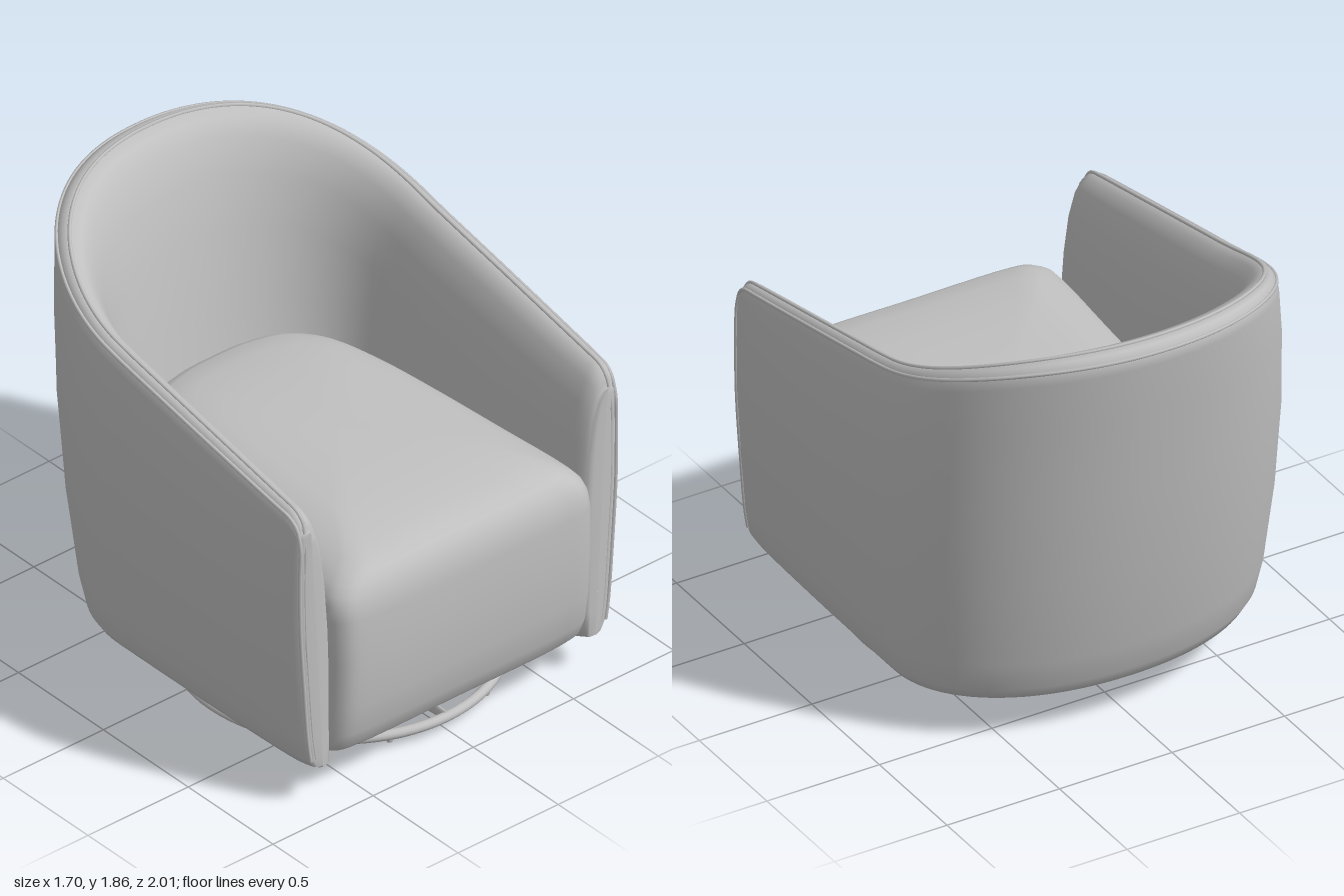
import * as THREE from 'three';

const V = (x, y, z) => new THREE.Vector3(x, y, z);
const FRONT = 0.9, ARC = -0.2, BASE = 0.15;

// Skin over a grid of points; j (the section) may wrap, i (the rows) may wrap.
function skin(ni, nj, wrapI, wrapJ, point) {
  const pos = [], index = [];
  for (let i = 0; i < ni; i++) for (let j = 0; j < nj; j++) pos.push(...point(i, j).toArray());
  for (let i = 0; i < (wrapI ? ni : ni - 1); i++) {
    for (let j = 0; j < (wrapJ ? nj : nj - 1); j++) {
      const i2 = (i + 1) % ni, j2 = (j + 1) % nj;
      const a = i * nj + j, b = i2 * nj + j, c = i2 * nj + j2, d = i * nj + j2;
      index.push(a, b, c, a, c, d);
    }
  }
  const g = new THREE.BufferGeometry();
  g.setAttribute('position', new THREE.Float32BufferAttribute(pos, 3));
  g.setIndex(index);
  g.computeVertexNormals();
  return g;
}

// Wall section, outside up and over to inside: [height share, half width, back depth, widening at front]
const SECTION = [
  [0, 0.72, 0.66, -0.02], [0.008, 0.755, 0.70, -0.035], [0.04, 0.785, 0.73, -0.045], [0.12, 0.808, 0.77, -0.055],
  [0.35, 0.838, 0.85, -0.065], [0.6, 0.85, 0.915, -0.06], [0.82, 0.835, 0.965, -0.042], [0.95, 0.81, 0.995, -0.02],
  [0.982, 0.797, 0.995, -0.012], [0.996, 0.78, 0.965, -0.008], [1, 0.76, 0.93, -0.003], [0.987, 0.725, 0.88, 0.005],
  [0.95, 0.69, 0.83, 0.015], [0.87, 0.65, 0.775, 0.03], [0.74, 0.62, 0.72, 0.04], [0.55, 0.595, 0.66, 0.05],
  [0.4, 0.575, 0.62, 0.065], [0.1, 0.56, 0.53, 0.08], [0, 0.55, 0.5, 0.09],
];
const OUTER_RIM = 8, INNER_RIM = 10;

// Stations along the U-shaped plan, from the left arm round the back to the right arm
const armZ = [0.9, 0.897, 0.89, 0.88, 0.865, 0.85, 0.83, 0.79, 0.72, 0.6, 0.45, 0.3, 0.15, 0, -0.1];
const stations = armZ.map((z) => ({ side: 1, z, bend: 0 }));
for (let k = 0; k <= 48; k++) {
  const c = Math.cos(k * Math.PI / 48), s = Math.sin(k * Math.PI / 48);
  stations.push({ side: Math.sign(c) * Math.abs(c) ** 0.94, z: ARC, bend: Math.max(0, s) ** 0.94 });
}
[...armZ].reverse().forEach((z) => stations.push({ side: -1, z, bend: 0 }));

// Rim height by depth: gentle slope along the arms, steeper and then level at the back
function topHeight(z) {
  const drop = z > 0.83 ? 0.07 - Math.sqrt(Math.max(0, 0.0049 - (z - 0.83) ** 2)) : 0;
  const b = Math.max(0, -z - 0.1);
  return 1.52 - 0.21 * z + 0.29 * b * b - 0.19 * b ** 4 - drop;
}

function wallPoint(s, [t, w, back, widen]) {
  const q = Math.max(0, s.z / FRONT);
  const f = 0.5 * (q ** 2 + q ** 20);
  const h = topHeight(s.z - s.bend * 0.76);
  return V(s.side * (w + widen * f), BASE + t * (h - BASE), s.z - s.bend * (back + ARC));
}

function wallGeometry() {
  const n = stations.length;
  // Extra rows at both ends close the arm fronts towards their midline
  const caps = [[1, 0.018], [0.3, 0.015], [0.08, 0.008]];
  return skin(n + 6, SECTION.length, false, true, (i, j) => {
    const k = i - 3;
    const p = wallPoint(stations[Math.min(n - 1, Math.max(0, k))], SECTION[j]);
    const cap = k < 0 ? caps[i] : k >= n ? caps[n + 5 - i] : null;
    if (cap) {
      const mid = Math.sign(p.x) * (0.68 + 0.06 * SECTION[j][0]);
      p.x += (mid - p.x) * cap[0];
      p.z += cap[1];
    }
    return p;
  });
}

// Piping runs up one arm front, round the rim and down the other arm front
function pipingGeometry(row, inset) {
  const leg = (s) => SECTION.slice(2, 8).map((r) => {
    const p = wallPoint(stations[0], r);
    return V(s * (p.x - inset), p.y, p.z + 0.01);
  });
  const rim = stations.filter((s) => s.z < 0.893).map((s) => wallPoint(s, SECTION[row]));
  const path = new THREE.CatmullRomCurve3([...leg(1), ...rim, ...leg(-1).reverse()]);
  return new THREE.TubeGeometry(path, 300, 0.008, 6);
}

// Domed seat block: plan outline stacked in rings of [height, width scale, depth scale]
function cushionGeometry() {
  const half = [[0.5, 0.998], [0.595, 0.98], [0.635, 0.93], [0.64, 0.85], [0.615, 0.5], [0.585, 0.1], [0.55, -0.2],
    [0.49, -0.42], [0.37, -0.55], [0.19, -0.605]];
  const outline = [...half.map(([x, z]) => V(x, 0, z)), V(0, 0, -0.615),
    ...half.map(([x, z]) => V(-x, 0, z)).reverse(), V(0, 0, 1)];
  const pts = new THREE.CatmullRomCurve3(outline, true).getPoints(96).slice(0, 96);
  const rings = [[0.17, 0, 0], [0.17, 0.985, 0.89], [0.17, 0.985, 0.89], [0.2, 0.995, 0.925], [0.27, 1, 0.96],
    [0.4, 1, 0.985], [0.6, 1, 1], [0.8, 1.005, 0.995], [0.86, 0.995, 0.985], [0.9, 0.97, 0.97], [0.935, 0.925, 0.95],
    [0.965, 0.86, 0.92], [0.99, 0.78, 0.87], [1.012, 0.68, 0.75], [1.03, 0.54, 0.55], [1.039, 0.3, 0.3], [1.041, 0, 0]];
  return skin(pts.length, rings.length, true, false, (i, j) => {
    const [y, sx, sz] = rings[j];
    return V(pts[i].x * sx, y, 0.2 + (pts[i].z - 0.2) * sz);
  });
}

export function createModel() {
  const group = new THREE.Group();
  const grey = new THREE.MeshStandardMaterial({ color: 0xc0c0c0 });
  grey.name = 'grey';
  const add = (name, geometry, x = 0, y = 0, z = 0, parent = group) => {
    const m = new THREE.Mesh(geometry, grey);
    m.name = name;
    m.position.set(x, y, z);
    parent.add(m);
    return m;
  };

  // Upholstery
  add('shell', wallGeometry());
  add('outerPiping', pipingGeometry(OUTER_RIM, 0.004));
  add('innerPiping', pipingGeometry(INNER_RIM, 0.028));
  add('seatCushion', cushionGeometry());

  // Swivel base
  const base = new THREE.Group();
  base.name = 'swivelBase';
  base.position.set(0, 0, 0.21);
  group.add(base);
  add('floorRing', new THREE.TorusGeometry(0.63, 0.021, 12, 80).rotateX(Math.PI / 2), 0, 0.034, 0, base);
  add('column', new THREE.CylinderGeometry(0.085, 0.085, 0.13, 32), 0, 0.11, 0, base);
  add('hub', new THREE.CylinderGeometry(0.085, 0.12, 0.035, 32), 0, 0.037, 0, base);
  for (let i = 0; i < 4; i++) {
    const spoke = new THREE.CylinderGeometry(0.022, 0.06, 0.56, 12).scale(1, 1, 0.4);
    spoke.rotateZ(-Math.PI / 2).rotateX(Math.PI / 2).translate(0.35, 0, 0);
    // Turn the flat side of the spoke level with the floor
    spoke.rotateX(Math.PI / 2);
    add('spoke', spoke, 0, 0.037, 0, base).rotation.y = i * Math.PI / 2;
  }
  for (let i = 0; i < 8; i++) {
    const a = (i + 0.5) * Math.PI / 4;
    add('footPad', new THREE.CylinderGeometry(0.016, 0.013, 0.018, 12), 0.63 * Math.cos(a), 0.014, 0.63 * Math.sin(a), base);
  }

  // Mechanism under the seat
  add('mountPlate', new THREE.BoxGeometry(0.4, 0.02, 0.4), 0, 0.165, 0.21);
  add('crossBar', new THREE.CylinderGeometry(0.011, 0.011, 1.22, 10).rotateZ(Math.PI / 2), 0, 0.155, -0.04);
  const lever = new THREE.Shape([[-0.45, 0.165], [-0.3, 0.135], [-0.1, 0.116], [0.03, 0.1], [0.07, 0.105], [0.08, 0.13],
    [0.06, 0.165]].map(([x, y]) => new THREE.Vector2(x, y)));
  for (const s of [1, -1]) {
    const g = new THREE.ExtrudeGeometry(lever, { depth: 0.012, bevelEnabled: false });
    add('sideBracket', g.translate(0, 0, -0.006).rotateY(Math.PI / 2), s * 0.61, 0, 0);
    add('pivot', new THREE.CylinderGeometry(0.018, 0.018, 0.02, 16).rotateZ(Math.PI / 2), s * 0.612, 0.125, -0.04);
  }
  return group;
}
